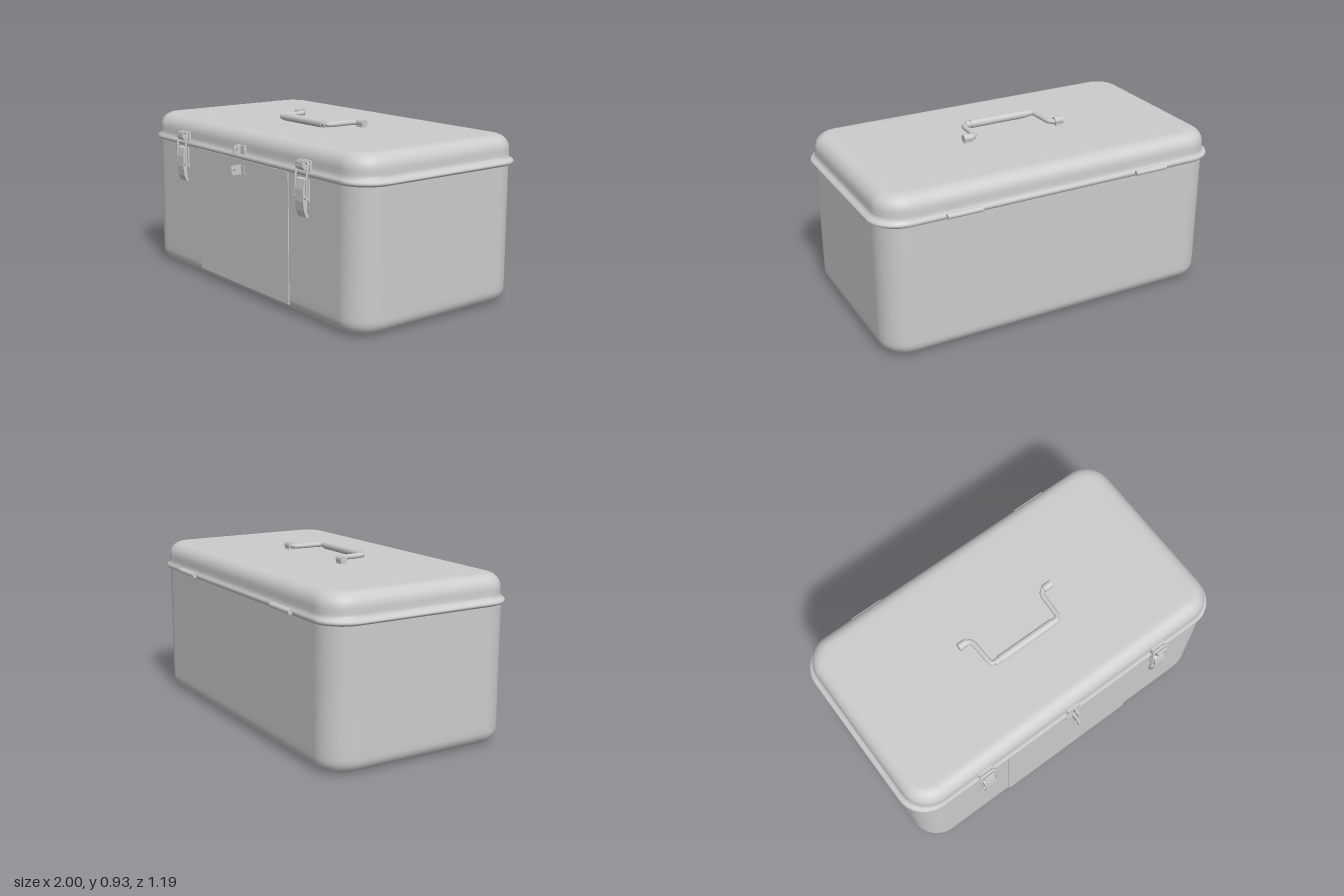
import * as THREE from 'three';

const material = new THREE.MeshStandardMaterial({ color: 0xcccccc, side: THREE.DoubleSide });

function add(parent, name, geometry, x = 0, y = 0, z = 0) {
  const mesh = new THREE.Mesh(geometry, material);
  mesh.name = name;
  mesh.position.set(x, y, z);
  parent.add(mesh);
  return mesh;
}

// Smooth shell through rounded rectangles: [half width, half depth, y, corner radius]
function loft(rings, steps = 8) {
  const pos = [], index = [], n = 4 * (steps + 1);
  for (const [hx, hz, y, r] of rings) {
    for (let c = 0; c < 4; c++) {
      const sx = c === 0 || c === 3 ? 1 : -1, sz = c < 2 ? 1 : -1;
      for (let s = 0; s <= steps; s++) {
        const a = (c + s / steps) * Math.PI / 2;
        pos.push(sx * (hx - r) + r * Math.cos(a), y, sz * (hz - r) + r * Math.sin(a));
      }
    }
  }
  for (let i = 0; i < rings.length - 1; i++) {
    for (let j = 0; j < n; j++) {
      const a = i * n + j, b = i * n + (j + 1) % n;
      index.push(a, a + n, b, b, a + n, b + n);
    }
  }
  const g = new THREE.BufferGeometry();
  g.setAttribute('position', new THREE.Float32BufferAttribute(pos, 3));
  g.setIndex(index);
  g.computeVertexNormals();
  return g;
}

// Quarter-round rings joining a wall to a flat face; dir -1 = bottom, 1 = top
function roundedEdge(hx, hz, y, radius, corner, dir) {
  const rings = [];
  for (let i = 0; i <= 6; i++) {
    const a = i / 6 * Math.PI / 2, inset = radius * (1 - Math.cos(a));
    rings.push([hx - inset, hz - inset, y + dir * radius * (Math.sin(a) - 1), corner - inset]);
  }
  rings.push([hx - radius - 0.03, hz - radius - 0.03, y, corner - radius - 0.03], [0, 0, y, 0]);
  return rings;
}

// Side profile in (z, y) extruded across x
function sideExtrude(shape, width) {
  return new THREE.ExtrudeGeometry(shape, { depth: width, bevelEnabled: false, curveSegments: 10 })
    .translate(0, 0, -width / 2).rotateY(-Math.PI / 2);
}

function profile(points) {
  return new THREE.Shape(points.map(([z, y]) => new THREE.Vector2(z, y)));
}

function tube(points, radius, closed = false, tension = 0.15) {
  const curve = new THREE.CatmullRomCurve3(points.map(p => new THREE.Vector3(...p)), closed, 'catmullrom', tension);
  return new THREE.TubeGeometry(curve, 64, radius, 10, closed);
}

function rodX(radius, length, sides = 16) {
  return new THREE.CylinderGeometry(radius, radius, length, sides).rotateZ(Math.PI / 2);
}

function makeLatch(x) {
  const g = new THREE.Group();
  g.name = 'latch';
  g.position.x = x;
  // Catch on the lid
  add(g, 'catchPlate', new THREE.BoxGeometry(0.085, 0.055, 0.012), 0, 0.792, 0.53);
  add(g, 'catchHook', sideExtrude(profile([[0.53, 0.775], [0.56, 0.775], [0.572, 0.79], [0.572, 0.815],
    [0.56, 0.815], [0.553, 0.797], [0.53, 0.797]]), 0.06));
  // Wire loop
  add(g, 'wireLoop', tube([[-0.043, 0.64, 0.562], [-0.045, 0.74, 0.56], [-0.043, 0.812, 0.548],
    [0.043, 0.812, 0.548], [0.045, 0.74, 0.56], [0.043, 0.64, 0.562]], 0.006, true));
  // Lever and its mounting plate
  add(g, 'leverPlate', new THREE.BoxGeometry(0.06, 0.11, 0.01), 0, 0.67, 0.533);
  add(g, 'lever', sideExtrude(profile([[0.538, 0.54], [0.554, 0.54], [0.566, 0.57], [0.573, 0.62],
    [0.572, 0.68], [0.562, 0.73], [0.55, 0.735], [0.546, 0.68], [0.55, 0.62], [0.548, 0.57]]), 0.066));
  add(g, 'pivot', rodX(0.01, 0.095), 0, 0.64, 0.56);
  return g;
}

function makeHandle() {
  const g = new THREE.Group();
  g.name = 'handle';
  g.position.y = 0.91;
  add(g, 'bail', tube([[-0.28, 0, -0.062], [-0.245, 0, -0.06], [-0.226, 0, -0.035], [-0.22, 0, 0.085],
    [-0.2, 0, 0.116], [0.2, 0, 0.116], [0.22, 0, 0.085], [0.226, 0, -0.035], [0.245, 0, -0.06],
    [0.28, 0, -0.062]], 0.014));
  add(g, 'grip', rodX(0.022, 0.34), 0, 0, 0.118);
  for (const s of [-1, 1]) {
    add(g, 'gripCollar', rodX(0.018, 0.04), s * 0.18, 0, 0.118);
    add(g, 'pivotSocket', rodX(0.021, 0.05, 12), s * 0.277, 0.003, -0.062);
    add(g, 'socketFoot', new THREE.BoxGeometry(0.045, 0.025, 0.036), s * 0.277, -0.015, -0.062);
  }
  return g;
}

export function createModel() {
  const model = new THREE.Group();
  model.name = 'toolbox';

  // Deep body with rounded bottom and upright corners
  const body = roundedEdge(0.97, 0.542, 0.005, 0.075, 0.15, -1).reverse();
  body.push([0.97, 0.542, 0.12, 0.15], [0.97, 0.542, 0.7, 0.15], [0.97, 0.542, 0.75, 0.15]);
  add(model, 'body', loft(body), 0, -0.005, -0.013);

  // Lid with a flared rim
  const lid = [[0.965, 0.538, 0.738, 0.15], [0.985, 0.548, 0.739, 0.16], [0.997, 0.552, 0.746, 0.165],
    [1, 0.554, 0.753, 0.165], [0.996, 0.552, 0.761, 0.165], [0.982, 0.546, 0.768, 0.16],
    [0.973, 0.542, 0.777, 0.155], [0.97, 0.54, 0.79, 0.15], ...roundedEdge(0.97, 0.54, 0.89, 0.075, 0.15, 1)];
  add(model, 'lid', loft(lid), 0, 0, -0.017);

  // Raised panel on the front
  add(model, 'frontPanel', new THREE.BoxGeometry(0.84, 0.69, 0.012), 0, 0.393, 0.528);

  for (const s of [-1, 1]) {
    model.add(makeLatch(s * 0.565));
    // Hinge knuckle on the back
    add(model, 'hinge', rodX(0.014, 0.19), s * 0.547, 0.757, -0.578);
  }

  // Padlock hasp: two plates with pierced fins
  for (const [y, reach] of [[0.793, 0.578], [0.685, 0.595]]) {
    add(model, 'haspPlate', new THREE.BoxGeometry(0.08, 0.045, 0.014), 0, y, 0.531);
    const fin = profile([[0.53, y - 0.025], [reach - 0.008, y - 0.025], [reach, y - 0.015],
      [reach, y + 0.015], [reach - 0.008, y + 0.025], [0.53, y + 0.025]]);
    fin.holes.push(new THREE.Path().absarc(reach - 0.017, y, 0.009, 0, Math.PI * 2, true));
    add(model, 'haspFin', sideExtrude(fin, 0.008));
  }

  model.add(makeHandle());
  return model;
}
